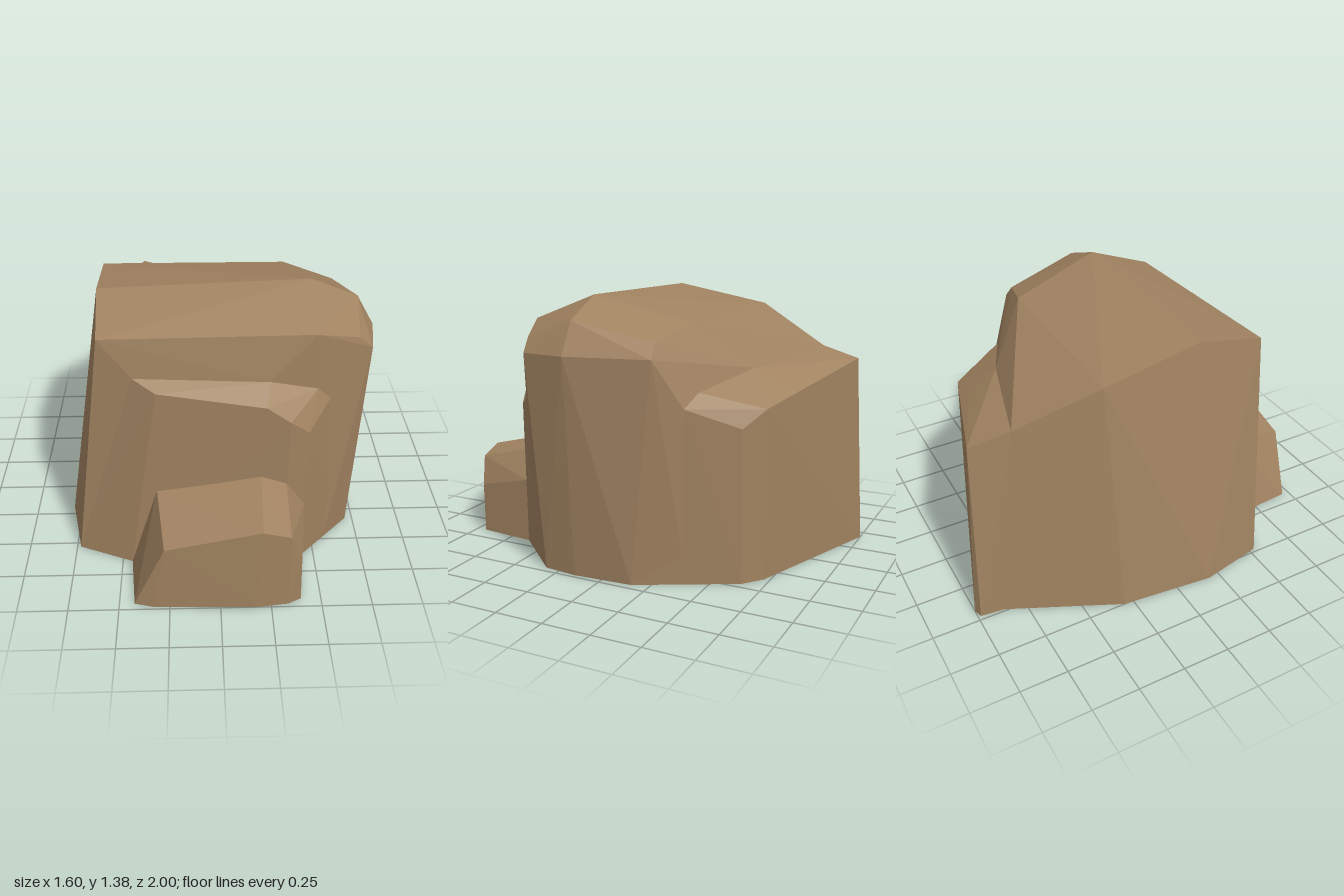
import * as THREE from 'three';
import { ConvexGeometry } from 'three/addons/geometries/ConvexGeometry.js';

const stone = new THREE.MeshStandardMaterial({ color: 0xa08260 });
stone.name = 'sandyStone';

// One faceted block of rock spanning its corner points
function block(name, ...rows) {
  const corners = rows.flat().map((p) => new THREE.Vector3(...p));
  const mesh = new THREE.Mesh(new ConvexGeometry(corners), stone);
  mesh.name = name;
  return mesh;
}

export function createModel() {
  const rock = new THREE.Group();
  rock.name = 'rock';

  // Crown: front rim, ridge and back rim, each running left to right
  const frontRim = [[-0.57, 1.26, 0.55], [0.47, 1.245, 0.5], [0.69, 1.18, 0.41], [0.76, 1.115, 0.39]];
  const ridge = [[-0.59, 1.35, 0.18], [0.47, 1.38, 0.16], [0.71, 1.28, 0.15], [0.8, 1.12, 0.15]];
  const backRim = [[-0.6, 1.257, -0.34], [0.38, 1.26, -0.33], [0.64, 1.19, -0.26], [0.7, 1.12, -0.27]];

  // Ledges: inner edge against the main block, outer edge above the wall
  const frontInner = [[-0.41, 1.06, 0.57], [0.25, 1.02, 0.55], [0.49, 0.95, 0.5], [0.56, 0.88, 0.47]];
  const frontOuter = [[-0.3, 1.01, 0.63], [0.23, 0.94, 0.66], [0.345, 0.86, 0.665], [0.44, 0.78, 0.63]];
  const backInner = [[-0.45, 1.06, -0.74], [0.15, 1.02, -0.57], [0.51, 0.95, -0.4], [0.6, 0.88, -0.39]];
  const backOuter = [[-0.41, 1.01, -0.945], [0.12, 0.94, -0.735], [0.355, 0.865, -0.715], [0.46, 0.78, -0.63]];

  // Foot of the main block
  const foot = [
    [-0.73, 0, 0.53], [-0.8, 0, 0.19], [-0.75, 0, -0.3], [-0.49, 0, -0.86],
    [0.58, 0, -0.4], [0.71, 0, -0.16], [0.73, 0, 0.15], [0.71, 0, 0.33], [0.57, 0, 0.48],
  ];
  rock.add(block('mainBlock', frontRim, ridge, backRim, frontInner, backInner, foot));

  // Front ledge
  const frontFoot = [[-0.73, 0, 0.53], [-0.45, 0, 0.65], [0.33, 0, 0.665], [0.43, 0, 0.63], [0.71, 0, 0.33]];
  rock.add(block('frontLedge', frontInner, frontOuter, frontFoot));

  // Back ledge
  const backFoot = [
    [-0.49, 0, -0.86], [-0.475, 0, -0.985], [-0.43, 0, -1.0],
    [0.06, 0, -0.78], [0.36, 0, -0.72], [0.46, 0, -0.64], [0.71, 0, -0.16],
  ];
  rock.add(block('backLedge', backInner, backOuter, backFoot));

  // Low step in front, rooted inside the front ledge
  const stepBack = [[-0.45, 0, 0.65], [-0.31, 0.455, 0.63], [0.21, 0.545, 0.66], [0.335, 0.505, 0.655], [0.435, 0.35, 0.63], [0.43, 0, 0.63]];
  const stepFront = [[-0.27, 0.355, 0.98], [0.2, 0.46, 0.99], [0.335, 0.42, 0.98], [0.395, 0.27, 0.95]];
  const stepFoot = [[-0.425, 0, 0.96], [-0.33, 0, 0.985], [0.18, 0, 1.0], [0.335, 0, 0.98], [0.4, 0, 0.945]];
  const stepRoot = [[-0.35, 0, 0.5], [-0.2, 0.35, 0.5], [0.3, 0.35, 0.5], [0.35, 0, 0.5]];
  rock.add(block('frontStep', stepBack, stepFront, stepFoot, stepRoot));

  return rock;
}
